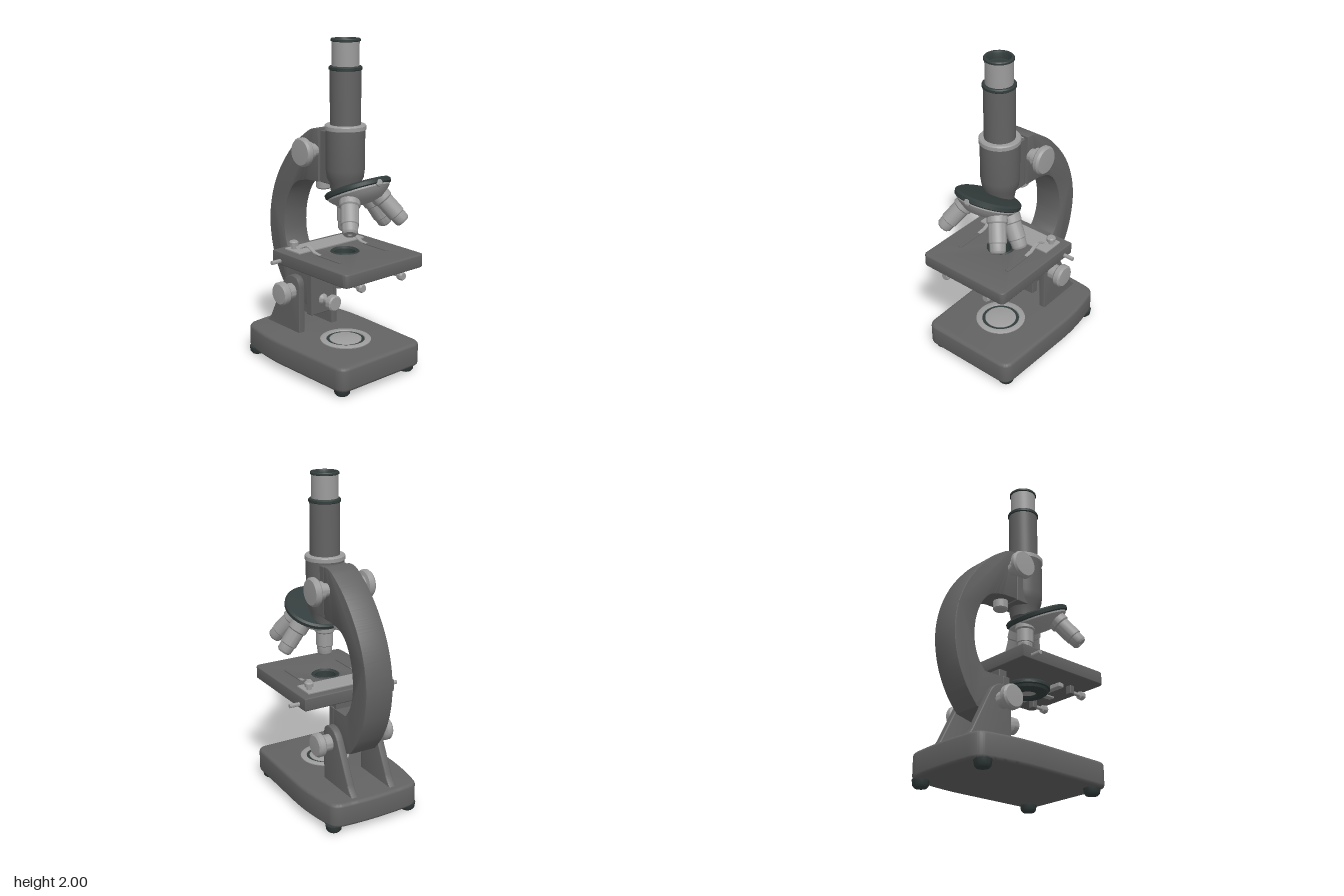
import * as THREE from 'three';
import { toCreasedNormals } from 'three/addons/utils/BufferGeometryUtils.js';
import { RoundedBoxGeometry } from 'three/addons/geometries/RoundedBoxGeometry.js';

const material = (name, color) => Object.assign(new THREE.MeshStandardMaterial({ color }), { name });
const V = (x, y, z) => new THREE.Vector3(x, y, z);
const UP = V(0, 1, 0);

export function createModel() {
  const body = material('grey enamel', 0x636363);
  const metal = material('pale metal', 0x9c9c9c);
  const dark = material('dark trim', 0x333c3c);
  const model = new THREE.Group();

  const add = (name, geo, mat, pos = [0, 0, 0], parent = model) => {
    const mesh = new THREE.Mesh(geo, mat);
    mesh.name = name;
    mesh.position.set(...pos);
    parent.add(mesh);
    return mesh;
  };
  // Box given by its limits on each axis
  const box = (name, mat, x0, x1, y0, y1, z0, z1, r = 0.006) =>
    add(name, new RoundedBoxGeometry(x1 - x0, y1 - y0, z1 - z0, 2, r), mat,
      [(x0 + x1) / 2, (y0 + y1) / 2, (z0 + z1) / 2]);
  // Turned part: profile of [radius, height], pointed along dir
  const turned = (name, mat, profile, pos = [0, 0, 0], dir = UP, parent = model) => {
    const lathe = new THREE.LatheGeometry(profile.map(p => new THREE.Vector2(...p)), 40);
    const mesh = add(name, toCreasedNormals(lathe, 0.6), mat, pos, parent);
    mesh.quaternion.setFromUnitVectors(UP, dir.clone().normalize());
    return mesh;
  };
  const extruded = (shape, depth, bevel, segments = 3) => toCreasedNormals(new THREE.ExtrudeGeometry(shape, {
    depth: depth - 2 * bevel, bevelEnabled: bevel > 0, bevelSize: bevel, bevelOffset: -bevel,
    bevelThickness: bevel, bevelSegments: segments, curveSegments: 32,
  }).translate(0, 0, bevel), 0.6);
  const flat = (...args) => extruded(...args).rotateX(-Math.PI / 2);

  // Base with bowed long sides
  const plan = new THREE.Shape();
  plan.moveTo(-0.42, -0.3);
  plan.quadraticCurveTo(-0.25, -0.34, -0.08, -0.338);
  plan.lineTo(0.41, -0.325);
  plan.quadraticCurveTo(0.47, -0.32, 0.472, -0.26);
  plan.lineTo(0.472, 0.26);
  plan.quadraticCurveTo(0.47, 0.32, 0.41, 0.325);
  plan.lineTo(-0.08, 0.338);
  plan.quadraticCurveTo(-0.25, 0.34, -0.42, 0.3);
  plan.quadraticCurveTo(-0.465, 0.29, -0.475, 0.23);
  plan.quadraticCurveTo(-0.5, 0, -0.475, -0.23);
  plan.quadraticCurveTo(-0.465, -0.29, -0.42, -0.3);
  add('base', flat(plan, 0.15, 0.02), body, [0, 0.04, 0]);
  for (const x of [-0.41, 0.4]) for (const z of [-0.26, 0.26])
    turned('foot', dark, [[0, 0], [0.035, 0], [0.045, 0.012], [0.05, 0.045], [0, 0.045]], [x, 0, z]);

  // Light well on the base
  turned('lampRing', metal, [[0.115, 0], [0.155, 0], [0.155, 0.006], [0.148, 0.01], [0.12, 0.01], [0.115, 0]], [0.14, 0.189, 0]);
  turned('lampGap', dark, [[0.117, 0], [0.117, 0.003], [0, 0.003]], [0.14, 0.189, 0]);
  turned('lampLens', metal, [[0.098, 0], [0.098, 0.006], [0.085, 0.01], [0, 0.011]], [0.14, 0.189, 0]);

  // Curved arm
  const arm = new THREE.Shape();
  arm.moveTo(-0.01, 1.16);
  arm.lineTo(-0.01, 1.475);
  arm.lineTo(-0.05, 1.475);
  arm.splineThru([[-0.11, 1.45], [-0.24, 1.35], [-0.37, 1.19], [-0.45, 1.02], [-0.48, 0.84], [-0.455, 0.66],
    [-0.39, 0.51], [-0.31, 0.405]].map(p => new THREE.Vector2(...p)));
  arm.lineTo(-0.11, 0.36);
  arm.lineTo(-0.11, 0.63);
  arm.lineTo(-0.255, 0.63);
  arm.splineThru([[-0.305, 0.7], [-0.332, 0.8], [-0.325, 0.93], [-0.28, 1.05], [-0.21, 1.125], [-0.11, 1.155]]
    .map(p => new THREE.Vector2(...p)));
  add('arm', extruded(arm, 0.18, 0.006, 2), body, [0, 0, -0.09]);
  box('pillarPlate', body, -0.12, -0.07, 0.3, 0.635, -0.092, 0.092);
  box('stageBracket', body, -0.145, -0.085, 0.6, 0.7, -0.085, 0.085);

  // Side supports between the base and the arm pivot
  const ear = new THREE.Shape();
  ear.moveTo(-0.45, 0.18);
  ear.quadraticCurveTo(-0.41, 0.21, -0.39, 0.25);
  ear.lineTo(-0.272, 0.485);
  ear.quadraticCurveTo(-0.235, 0.55, -0.18, 0.55);
  ear.quadraticCurveTo(-0.115, 0.55, -0.115, 0.48);
  ear.lineTo(-0.115, 0.18);
  for (const s of [-1, 1]) {
    add('support', extruded(ear, 0.045, 0.006), body, [0, 0, s * 0.1325 - 0.0225]);
    // Focus knobs and pivot knobs
    turned('pivotKnob', metal, [[0.04, -0.07], [0.04, 0], [0.05, 0.005], [0.05, 0.05], [0.062, 0.055], [0.072, 0.065],
      [0.072, 0.095], [0.062, 0.106], [0, 0.109]], [-0.185, 0.45, s * 0.153], V(0, 0, s));
    turned('focusKnob', metal, [[0.04, 0], [0.04, 0.03], [0.055, 0.035], [0.055, 0.065], [0.078, 0.072], [0.086, 0.082],
      [0.086, 0.102], [0.076, 0.115], [0, 0.118]], [-0.043, 1.345, s * 0.086], V(0, 0, s));
  }
  turned('pivotAxle', metal, [[0.03, -0.15], [0.03, 0.15]], [-0.185, 0.45, 0], V(0, 0, 1));

  // Screws on the pillar
  turned('tensionKnob', metal, [[0.035, 0], [0.03, 0.012], [0.018, 0.02], [0.018, 0.06], [0.035, 0.07], [0.05, 0.08],
    [0.05, 0.112], [0.042, 0.12], [0, 0.12]], [-0.071, 0.39, 0], V(1, 0, 0));
  turned('stopScrew', dark, [[0.026, 0], [0.026, 0.012], [0.018, 0.02], [0, 0.02]], [-0.072, 0.56, 0], V(1, 0, 0));
  turned('armStud', metal, [[0, 0], [0.038, 0], [0.046, 0.008], [0.046, 0.06]], [-0.062, 1.1, 0]);

  // Sliding head and body tube
  box('slide', metal, -0.03, 0.04, 1.17, 1.465, -0.06, 0.06);
  box('headBlock', body, 0.002, 0.1, 1.16, 1.47, -0.082, 0.082);
  const X = 0.13;
  turned('head', body, [[0, 1.09], [0.08, 1.1], [0.093, 1.17], [0.108, 1.2], [0.115, 1.25], [0.115, 1.48]], [X, 0, 0]);
  turned('headCollar', metal, [[0.115, 1.478], [0.121, 1.483], [0.121, 1.505], [0.115, 1.512], [0.088, 1.512]], [X, 0, 0]);
  turned('bodyTube', body, [[0.09, 1.5], [0.09, 1.83]], [X, 0, 0]);
  turned('tubeRing', dark, [[0.09, 1.822], [0.096, 1.826], [0.096, 1.84], [0.09, 1.846], [0.076, 1.846]], [X, 0, 0]);
  turned('eyepiece', metal, [[0.079, 1.84], [0.079, 1.985]], [X, 0, 0]);
  turned('eyepieceRim', dark, [[0.079, 1.982], [0.085, 1.985], [0.085, 1.995], [0.081, 2], [0.069, 2], [0.064, 1.99],
    [0.062, 1.96], [0, 1.955]], [X, 0, 0]);

  // Tilted revolving nosepiece
  const nose = new THREE.Group();
  nose.name = 'nosepiece';
  nose.position.set(0.238, 1.155, 0);
  nose.rotation.z = 0.43;
  model.add(nose);
  turned('noseDisc', dark, [[0, -0.02], [0.19, -0.02], [0.197, -0.014], [0.197, 0.006], [0.185, 0.016], [0, 0.022]], [0, 0, 0], UP, nose);
  turned('noseBowl', metal, [[0, -0.1], [0.07, -0.098], [0.12, -0.085], [0.165, -0.05], [0.183, -0.03], [0.183, -0.018]], [0, 0, 0], UP, nose);
  turned('clickStop', metal, [[0.024, 0], [0.024, 0.02], [0.015, 0.028], [0, 0.028]], [0.17, -0.015, 0], V(1, 0, 0), nose);

  // Objectives, each from its seat to its tip
  [[V(0.14, 1.09, 0), V(0.137, 0.882, 0)], [V(0.285, 1.125, 0.105), V(0.405, 0.95, 0.21)],
    [V(0.285, 1.125, -0.105), V(0.405, 0.95, -0.21)], [V(0.2, 1.09, -0.12), V(0.235, 0.905, -0.235)]]
    .forEach(([seat, tip]) => {
      const dir = tip.clone().sub(seat), L = dir.length();
      turned('objective', metal, [[0.06, 0], [0.06, 0.06], [0.052, 0.068], [0.052, L - 0.06], [0.047, L - 0.055],
        [0.045, L - 0.012], [0.036, L], [0.014, L], [0.01, L - 0.006], [0, L - 0.006]], seat.toArray(), dir);
    });

  // Stage with a round opening
  const stage = new THREE.Shape();
  const x0 = -0.168, x1 = 0.485, zs = 0.31, r = 0.035;
  stage.moveTo(x0, -zs);
  stage.lineTo(x1 - r, -zs);
  stage.quadraticCurveTo(x1, -zs, x1, -zs + r);
  stage.lineTo(x1, zs - r);
  stage.quadraticCurveTo(x1, zs, x1 - r, zs);
  stage.lineTo(x0, zs);
  const opening = new THREE.Path();
  opening.absarc(X, 0, 0.085, 0, Math.PI * 2, true);
  stage.holes.push(opening);
  add('stage', flat(stage, 0.08, 0.007), body, [0, 0.672, 0]);
  turned('openingRing', dark, [[0.08, 0.66], [0.086, 0.75], [0.078, 0.756], [0.064, 0.745], [0.06, 0.66]], [X, 0, 0]);

  // Condenser below the stage
  turned('condenser', dark, [[0.05, 0.625], [0.06, 0.612], [0.1, 0.612], [0.12, 0.625], [0.125, 0.64], [0.135, 0.645],
    [0.135, 0.66], [0.12, 0.675]], [0.155, 0, 0]);
  turned('condenserLens', metal, [[0, 0.62], [0.052, 0.626], [0.052, 0.66], [0.045, 0.67], [0, 0.674]], [0.155, 0, 0]);
  box('irisLever', metal, 0.24, 0.36, 0.638, 0.65, -0.02, 0.02, 0.004);
  box('condenserBar', metal, 0.25, 0.29, 0.645, 0.673, -0.17, 0.17);

  // Rod, slide holder and clips
  turned('stageRod', metal, [[0, -0.375], [0.012, -0.375], [0.012, 0.375], [0, 0.375]], [-0.098, 0.697, 0], V(0, 0, 1));
  box('holderPlate', metal, -0.12, 0.02, 0.75, 0.763, -0.26, 0.26, 0.004);
  const clip = new THREE.Shape();
  const curve = [[-0.05, 0.764], [-0.02, 0.778], [0.005, 0.79], [0.03, 0.785], [0.07, 0.765], [0.13, 0.757], [0.2, 0.757]];
  curve.forEach(([x, y], i) => (i ? clip.lineTo(x, y) : clip.moveTo(x, y)));
  [...curve].reverse().forEach(([x, y]) => clip.lineTo(x, y - 0.006));
  for (const s of [-1, 1]) {
    add('stageClip', extruded(clip, 0.022, 0), metal, [0, 0, s * 0.185 - 0.011]);
    box('slideRail', body, 0.1, 0.3, 0.748, 0.758, s * 0.185 - 0.012, s * 0.185 + 0.012, 0.003);
    turned('clipScrew', metal, [[0.014, 0], [0.014, 0.02], [0.027, 0.024], [0.028, 0.045], [0.022, 0.052], [0, 0.053]],
      [-0.07, 0.76, s * 0.228]);
    turned('stageScrew', metal, [[0, 0], [0.012, 0], [0.012, 0.085], [0.024, 0.09], [0.026, 0.115], [0.02, 0.125], [0, 0.125]],
      [0.34, 0.637, s * 0.16], V(1, 0, 0));
    box('screwLug', body, 0.335, 0.37, 0.62, 0.675, s * 0.16 - 0.02, s * 0.16 + 0.02);
  }
  return model;
}
